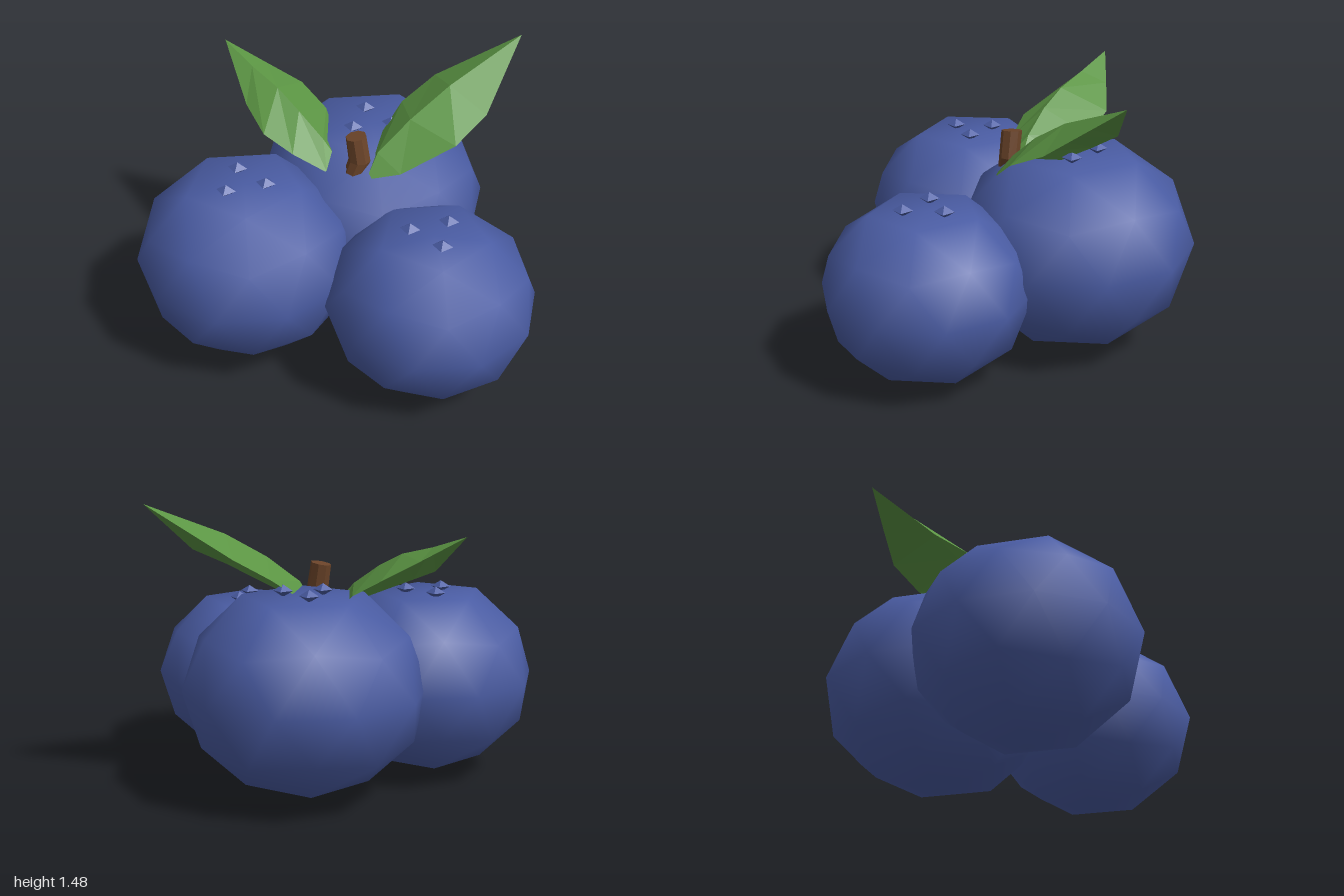
import * as THREE from 'three';
import { mergeVertices } from 'three/addons/utils/BufferGeometryUtils.js';

const paint = (name, color, side = THREE.FrontSide) =>
  Object.assign(new THREE.MeshStandardMaterial({ color, side }), { name });

function part(name, geometry, material, parent) {
  const mesh = new THREE.Mesh(geometry, material);
  mesh.name = name;
  parent.add(mesh);
  return mesh;
}

// Faceted copy of a geometry
function faceted(geometry) {
  const g = geometry.index ? geometry.toNonIndexed() : geometry;
  g.computeVertexNormals();
  return g;
}

// Smooth, squat icosphere with a vertex pointing up and the top cap pressed flat
function berryGeometry(radius, halfHeight) {
  let g = new THREE.IcosahedronGeometry(1, 1);
  g.rotateZ(-Math.atan(2 / (1 + Math.sqrt(5))));
  g.deleteAttribute('normal');
  g.deleteAttribute('uv');
  g = mergeVertices(g, 1e-3);
  const p = g.attributes.position;
  for (let i = 0; i < p.count; i++) if (p.getY(i) > 0.95) p.setY(i, 0.84);
  g.scale(radius, halfHeight, radius);
  g.computeVertexNormals();
  return g;
}

// Folded leaf: rows of [edge, midrib, edge] between a base point and a tip
function leafGeometry(base, rows, tip) {
  const points = [base, ...rows.flat(), tip];
  const last = points.length - 1;
  const index = [];
  for (let s = 0; s < 2; s++) {
    index.push(0, 2 + s, 1 + s);
    for (let r = 0; r < rows.length - 1; r++) {
      const a = 1 + r * 3 + s, b = a + 3;
      index.push(a, a + 1, b, a + 1, b + 1, b);
    }
    const e = last - 3 + s;
    index.push(e, e + 1, last);
  }
  const g = new THREE.BufferGeometry();
  g.setAttribute('position', new THREE.Float32BufferAttribute(points.flat(), 3));
  g.setIndex(index);
  return faceted(g);
}

export function createModel() {
  const model = new THREE.Group();
  model.name = 'berryCluster';
  const blue = paint('berryBlue', 0x4a5ca3);
  const green = paint('leafGreen', 0x5c9644, THREE.DoubleSide);
  const brown = paint('stemBrown', 0x6b4429);

  // Berries, each with three small crown tips
  const berries = [
    { name: 'rightBerry', at: [-0.467, 0.523, 0.28], r: 0.56, h: 0.513, turn: 0, tipY: 0.975 },
    { name: 'leftBerry', at: [0.5, 0.47, 0.385], r: 0.525, h: 0.47, turn: Math.PI, tipY: 0.89 },
    { name: 'backBerry', at: [0.05, 0.56, -0.305], r: 0.61, h: 0.54, turn: 0.12, tipY: 1.042 },
  ];
  for (const { name, at, r, h, turn, tipY } of berries) {
    const berry = new THREE.Group();
    berry.name = name;
    berry.position.set(...at);
    model.add(berry);
    part('berryBody', berryGeometry(r, h), blue, berry);
    for (let i = 0; i < 3; i++) {
      const a = turn + i * Math.PI * 2 / 3;
      const tip = part('crownTip', new THREE.OctahedronGeometry(0.05), blue, berry);
      tip.scale.y = 0.62;
      tip.position.set(Math.cos(a) * 0.115, tipY - at[1], Math.sin(a) * 0.115);
    }
  }

  // Slightly bent stem
  const stem = new THREE.CylinderGeometry(0.052, 0.05, 0.22, 8, 2);
  const p = stem.attributes.position;
  for (let i = 0; i < p.count; i++) {
    const y = p.getY(i), x = p.getX(i);
    const mid = Math.abs(y) < 0.05;
    p.setX(i, x * (mid ? 1.1 : 1) + (mid ? 0.064 : y > 0 ? 0.043 : 0.032));
    p.setZ(i, p.getZ(i) + 0.028 - y * 0.1);
    p.setY(i, y + 1.025 + (mid ? -0.02 : y > 0 ? x * 0.18 : 0));
  }
  part('stem', faceted(stem), brown, model);

  // Leaves
  part('leftLeaf', leafGeometry([0.11, 0.93, 0.085], [
    [[0.08, 0.95, -0.13], [0.15, 1.04, 0], [0.28, 0.975, 0.07]],
    [[0.2, 1.11, -0.395], [0.29, 1.18, -0.12], [0.535, 1.12, -0.02]],
    [[0.35, 1.22, -0.515], [0.46, 1.31, -0.27], [0.66, 1.215, -0.185]],
  ], [0.775, 1.48, -0.555]), green, model);
  part('rightLeaf', leafGeometry([-0.055, 0.95, -0.025], [
    [[-0.12, 0.96, -0.24], [-0.14, 1.05, -0.05], [-0.095, 0.925, 0.06]],
    [[-0.195, 1.04, -0.36], [-0.28, 1.155, -0.12], [-0.275, 1.0, 0.045]],
    [[-0.345, 1.13, -0.445], [-0.41, 1.23, -0.2], [-0.435, 1.07, 0]],
    [[-0.53, 1.23, -0.435], [-0.57, 1.28, -0.3], [-0.565, 1.14, -0.15]],
  ], [-0.745, 1.35, -0.42]), green, model);

  return model;
}
